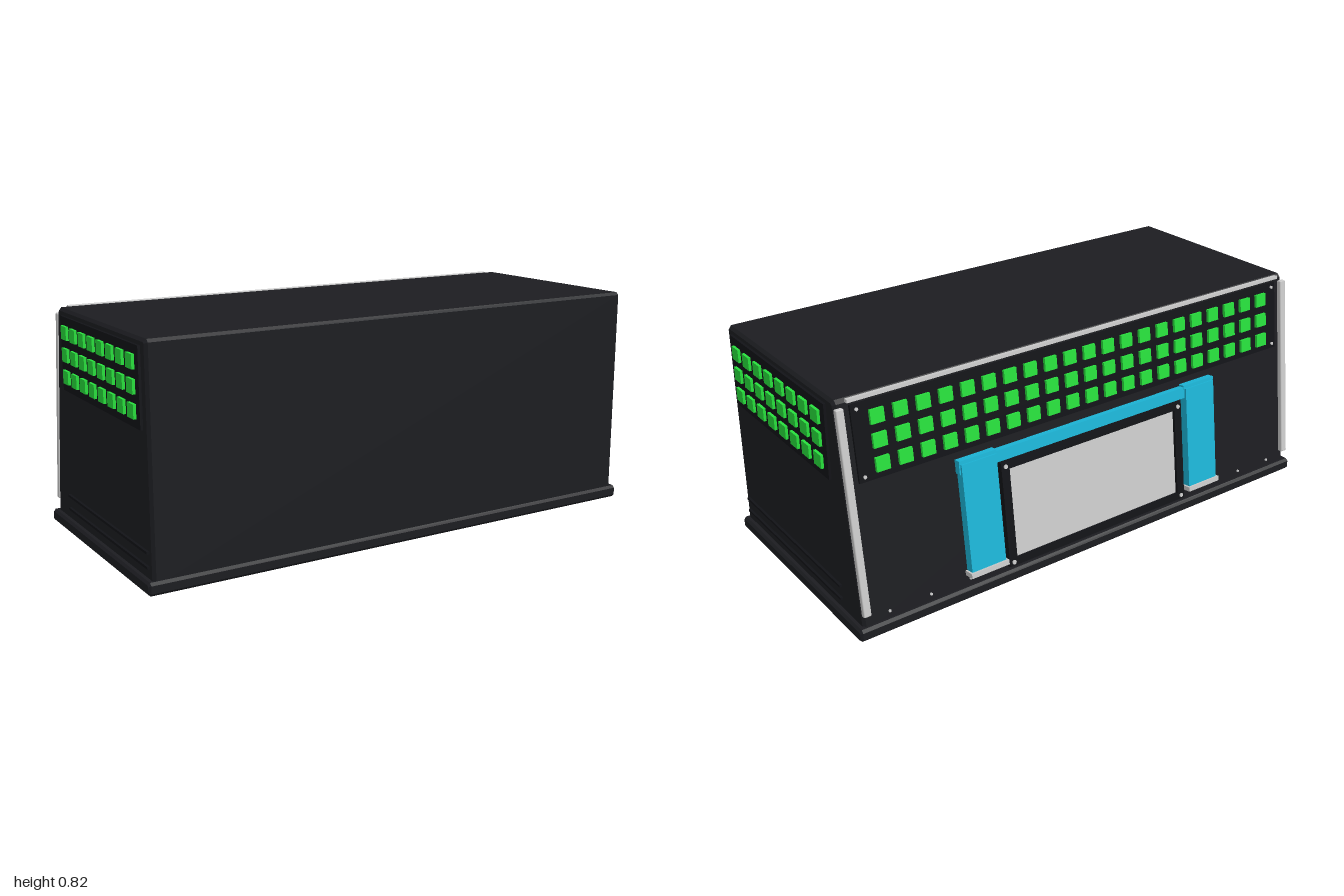
import * as THREE from 'three';
import { RoundedBoxGeometry } from 'three/addons/geometries/RoundedBoxGeometry.js';

const mat = (color) => new THREE.MeshStandardMaterial({ color });
const shell = mat(0x1c1d21), dark = mat(0x121317), green = mat(0x27e03c);
const blue = mat(0x1cb6d8), metal = mat(0xcccccc);

function add(parent, name, geometry, material, x = 0, y = 0, z = 0) {
  const mesh = new THREE.Mesh(geometry, material);
  mesh.name = name;
  mesh.position.set(x, y, z);
  parent.add(mesh);
  return mesh;
}

const box = (parent, name, material, w, h, d, x, y, z) =>
  add(parent, name, new THREE.BoxGeometry(w, h, d), material, x, y, z);

// Side profile of [z, y] points, extruded across x with a small bevel
function prism(points, width, bevel) {
  const shape = new THREE.Shape(points.map(([z, y]) => new THREE.Vector2(-z, y)));
  const g = new THREE.ExtrudeGeometry(shape, {
    depth: width - 2 * bevel, bevelThickness: bevel, bevelSize: bevel,
    bevelOffset: -bevel, bevelSegments: 1,
  });
  g.translate(0, 0, bevel - width / 2);
  return g.rotateY(Math.PI / 2);
}

function rectShape(Kind, x0, y0, x1, y1) {
  const s = new Kind();
  s.moveTo(x0, y0);
  s.lineTo(x1, y0);
  s.lineTo(x1, y1);
  s.lineTo(x0, y1);
  s.closePath();
  return s;
}

// Grid of glowing buttons facing local +z
function buttonGrid(parent, columns, pitch, rows, z) {
  const group = new THREE.Group();
  group.name = 'buttons';
  const geometry = new THREE.BoxGeometry(0.05, 0.048, 0.014);
  for (const y of rows)
    for (let i = 0; i < columns; i++)
      add(group, 'button', geometry, green, (i - (columns - 1) / 2) * pitch, y, z);
  parent.add(group);
}

function screw(parent, x, y, z, r = 0.006) {
  const g = new THREE.CylinderGeometry(r, r, 0.006, 8).rotateX(Math.PI / 2);
  add(parent, 'screw', g, metal, x, y, z);
}

export function createModel() {
  const model = new THREE.Group();
  model.name = 'controlConsole';

  // Plinth and wedge-shaped housing
  add(model, 'base', prism([[0.462, 0.01], [0.452, 0], [-0.432, 0], [-0.442, 0.01],
    [-0.442, 0.037], [-0.432, 0.046], [0.452, 0.046], [0.462, 0.037]], 2, 0.008), shell);
  add(model, 'housing', prism([[0.452, 0.03], [-0.427, 0.03], [-0.326, 0.808],
    [-0.314, 0.82], [0.442, 0.82], [0.452, 0.81]], 1.96, 0.01), shell);

  // Side walls: button panel and two trim ribs
  for (const s of [-1, 1]) {
    const side = new THREE.Group();
    side.name = s > 0 ? 'leftSide' : 'rightSide';
    side.position.set(s * 0.98, 0, 0.069);
    side.rotation.y = s * Math.PI / 2;
    box(side, 'sidePanel', dark, 0.692, 0.266, 0.016, 0, 0.664, 0.001);
    buttonGrid(side, 8, 0.0835, [0.743, 0.664, 0.585], 0.012);
    for (const y of [0.085, 0.135]) box(side, 'trimRib', dark, 0.715, 0.009, 0.016, 0, y, 0.001);
    model.add(side);
  }

  // Sloped back: local y runs up the slope, local z points outward
  const back = new THREE.Group();
  back.name = 'slopedBack';
  back.position.set(0, 0.045, -0.425);
  back.rotation.set(-0.13, Math.PI, 0, 'YXZ');
  model.add(back);

  // Wide button panel
  box(back, 'backPanel', dark, 1.86, 0.262, 0.014, 0, 0.628, 0.003);
  buttonGrid(back, 21, 0.0845, [0.705, 0.625, 0.545], 0.014);
  for (const x of [-0.91, 0.91])
    for (const y of [0.515, 0.742]) screw(back, x, y, 0.012);

  // Metal edge strips
  for (const s of [-1, 1])
    add(back, 'edgeStrip', new RoundedBoxGeometry(0.028, 0.715, 0.02, 1, 0.004), metal,
      s * 0.968, 0.4, 0.009);
  box(back, 'topStrip', metal, 1.88, 0.012, 0.016, 0, 0.776, 0.007);

  // Screws along the foot of the slope
  for (let i = 0; i < 12; i++) screw(back, (i - 5.5) * 0.16, 0.026, 0.002, 0.005);

  // Screen with raised bezel
  const bezel = rectShape(THREE.Shape, -0.41, 0.02, 0.41, 0.41);
  bezel.holes.push(rectShape(THREE.Path, -0.377, 0.047, 0.377, 0.383));
  add(back, 'screenBezel',
    new THREE.ExtrudeGeometry(bezel, { depth: 0.024, bevelEnabled: false }), dark);
  box(back, 'screen', metal, 0.76, 0.34, 0.014, 0, 0.215, 0.006);
  for (const x of [-0.393, 0.393])
    for (const y of [0.035, 0.395]) screw(back, x, y, 0.026, 0.008);

  // Blue arch around the screen, standing on metal feet
  box(back, 'archBeam', blue, 1.15, 0.042, 0.026, 0, 0.441, 0.012);
  for (const s of [-1, 1]) {
    box(back, 'archLeg', blue, 0.14, 0.4, 0.034, s * 0.5, 0.256, 0.016);
    box(back, 'archShoulder', blue, 0.15, 0.014, 0.028, s * 0.5, 0.462, 0.013);
    box(back, 'archFoot', metal, 0.155, 0.018, 0.042, s * 0.5, 0.052, 0.02);
  }

  return model;
}
